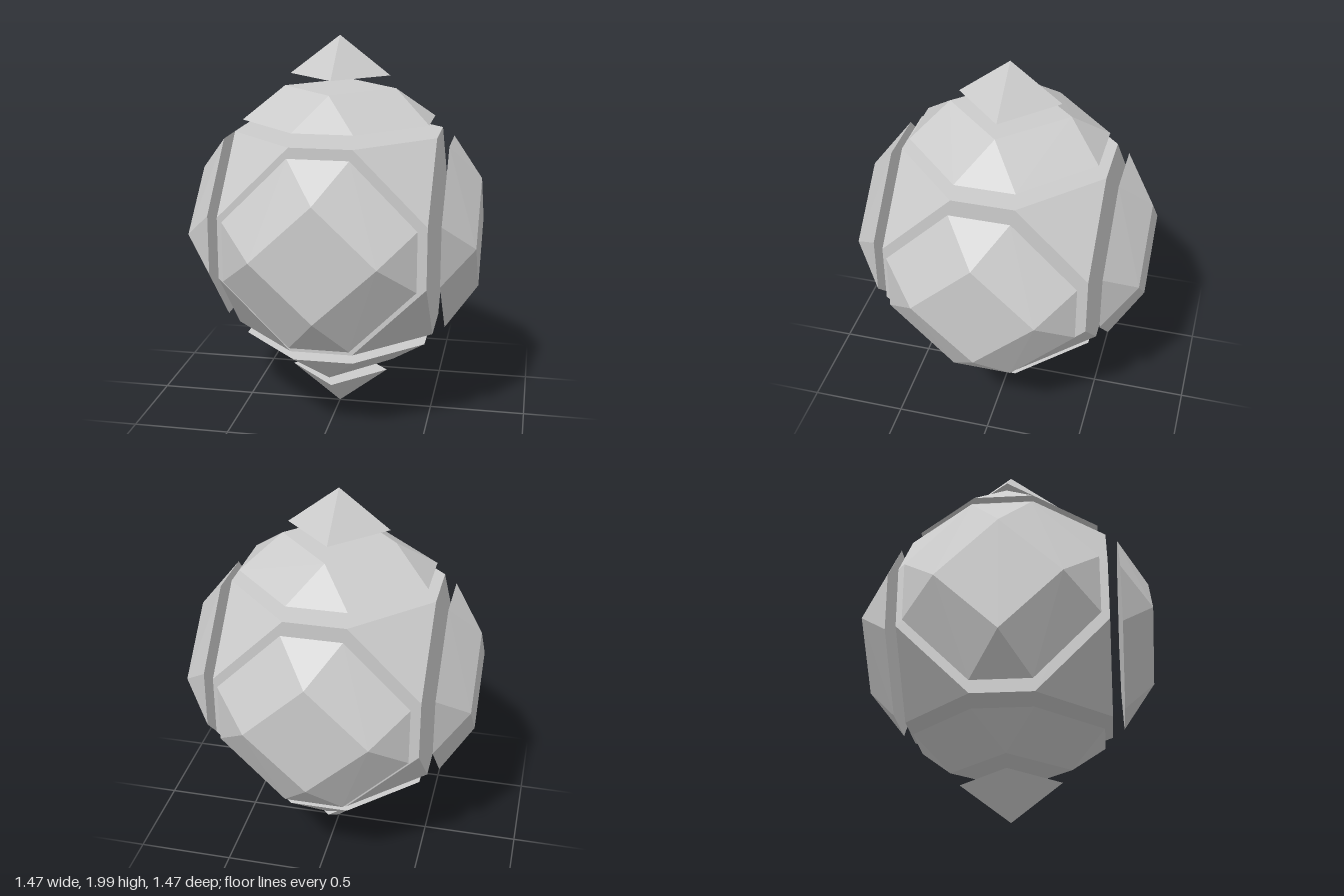
import * as THREE from 'three';
import { ConvexGeometry } from 'three/addons/geometries/ConvexGeometry.js';

const material = new THREE.MeshStandardMaterial({ color: 0xcccccc, flatShading: true });
const signs = [-1, 1];

// Closed faceted solid around a set of corners
function solid(name, points) {
  const mesh = new THREE.Mesh(new ConvexGeometry(points), material);
  mesh.name = name;
  return mesh;
}

// Octagon with short sides square to the axes: half width a, half short side b
function octagon(a, b) {
  return signs.flatMap(s => signs.flatMap(t => [[s * a, t * b], [s * b, t * a]]));
}

function diamond(u, v) {
  return [[u, 0], [-u, 0], [0, v], [0, -v]];
}

export function createModel() {
  const model = new THREE.Group();
  model.name = 'facetedOrb';
  const body = new THREE.Group();
  body.name = 'body';
  body.position.y = 1.005;
  model.add(body);

  // Core: cube with its eight corners cut off
  const half = 0.516, cut = 0.155;
  const corners = [];
  for (const [p, q] of octagon(half, cut)) {
    for (const s of signs) corners.push(new THREE.Vector3(p, q, s * half));
  }
  for (const p of signs) for (const q of signs) for (const r of signs) {
    corners.push(new THREE.Vector3(p * half, q * half, r * cut));
  }
  body.add(solid('core', corners));

  // Six floating plates: octagonal base rising to a flat diamond
  const sides = [
    { name: 'Top', sign: 1, place: (u, v, h) => [u, h, v] },
    { name: 'Bottom', sign: -1, place: (u, v, h) => [u, h, v] },
    { name: 'Front', sign: 1, place: (u, v, h) => [v, u, h] },
    { name: 'Back', sign: -1, place: (u, v, h) => [v, u, h] },
    { name: 'Left', sign: 1, place: (u, v, h) => [h, u, v] },
    { name: 'Right', sign: -1, place: (u, v, h) => [h, u, v] },
  ];
  for (const { name, sign, place } of sides) {
    const at = height => ([u, v]) => new THREE.Vector3(...place(u, v, sign * height));
    body.add(solid('plate' + name, [
      ...octagon(0.475, 0.15).map(at(0.577)),
      ...diamond(0.288, 0.306).map(at(0.735)),
    ]));
  }

  // Pyramid tips above and below
  for (const s of signs) {
    const base = diamond(0.258, 0.258).map(([x, z]) => new THREE.Vector3(x, s * 0.799, z));
    body.add(solid(s > 0 ? 'topTip' : 'bottomTip', [...base, new THREE.Vector3(0, s * 0.997, 0)]));
  }
  return model;
}
